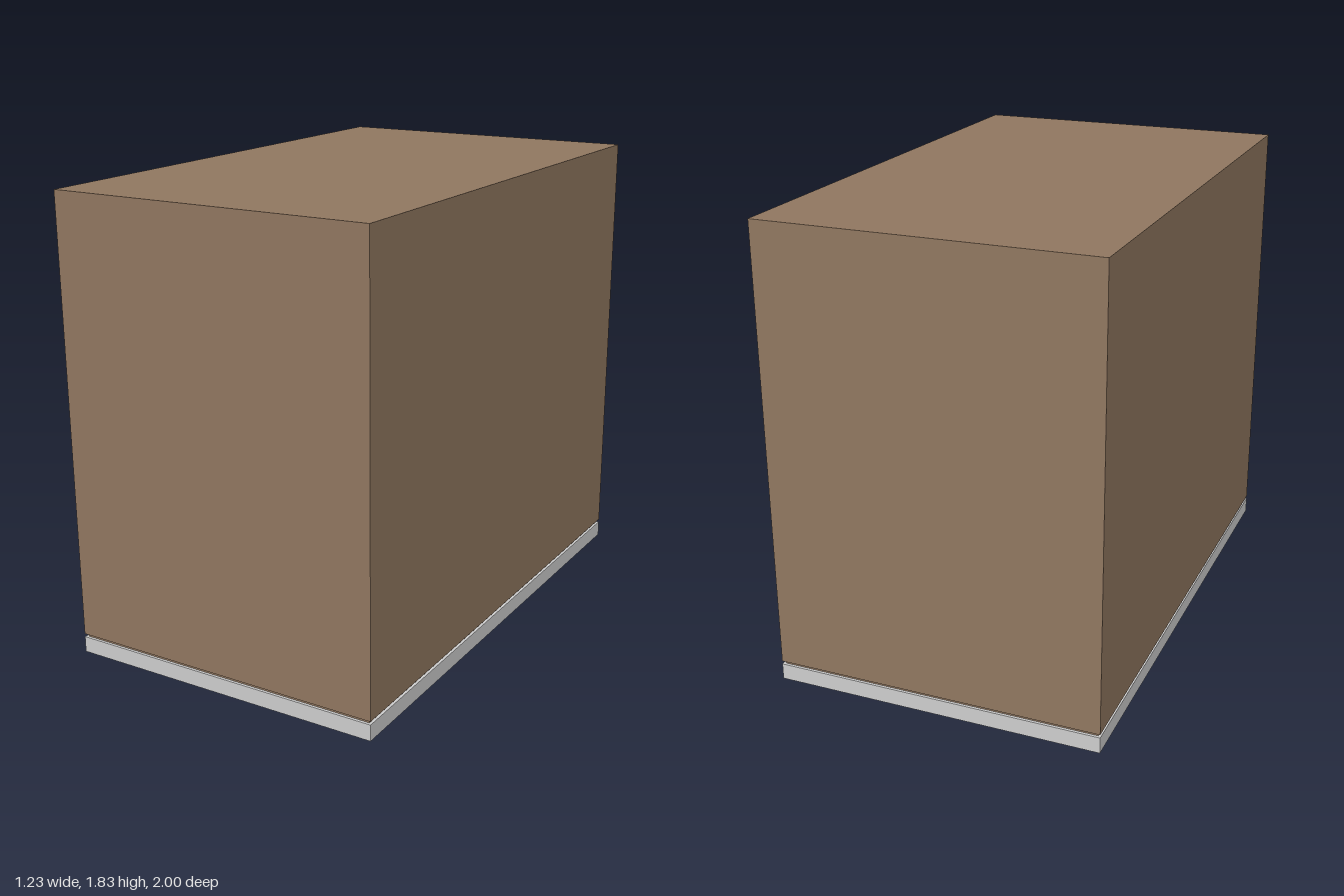
import * as THREE from 'three';

const W = 1.216, D = 1.972; // cabinet width and length
const wood = new THREE.MeshStandardMaterial({ color: 0x8f765f });
const paint = new THREE.MeshStandardMaterial({ color: 0xcccccc });
const metal = new THREE.MeshStandardMaterial({ color: 0x222222 });

// Box spanning y0..y1, centred on x, z
function slab(name, w, d, y0, y1, material, x = 0, z = 0) {
  const mesh = new THREE.Mesh(new THREE.BoxGeometry(w, y1 - y0, d), material);
  mesh.position.set(x, (y0 + y1) / 2, z);
  mesh.name = name;
  return mesh;
}

function rectangle(Type, w, h) {
  return new Type([[-w, -h], [w, -h], [w, h], [-w, h]].map(([x, y]) => new THREE.Vector2(x / 2, y / 2)));
}

// Door lying face down: a frame around a recessed panel
function createDoor() {
  const door = new THREE.Group();
  door.name = 'door';
  const margin = 0.193, w = W - 2 * margin, d = D - 2 * margin;
  const outline = rectangle(THREE.Shape, W, D);
  outline.holes.push(rectangle(THREE.Path, w, d));
  const geometry = new THREE.ExtrudeGeometry(outline, { depth: 0.06, bevelEnabled: false });
  geometry.rotateX(-Math.PI / 2);
  const frame = new THREE.Mesh(geometry, paint);
  frame.name = 'doorFrame';
  door.add(frame, slab('doorPanel', w, d, 0.025, 0.06, paint));
  return door;
}

// Bar handle on two posts
function createHandle() {
  const handle = new THREE.Group();
  handle.name = 'handle';
  const t = 0.03, x = -0.515, front = 0.832, back = 0.332;
  for (const z of [front, back]) handle.add(slab('handlePost', t, t, -0.088, 0, metal, x, z));
  handle.add(slab('handleBar', t, front - back, -0.095, -0.065, metal, x, (front + back) / 2));
  return handle;
}

export function createModel() {
  const cabinet = new THREE.Group();
  cabinet.name = 'cabinet';
  cabinet.add(
    slab('cabinetBody', W, D, 0.072, 1.705, wood),
    slab('doorGap', W - 0.02, D - 0.02, 0.06, 0.072, wood),
    createDoor(),
    createHandle(),
  );
  // The cabinet rests on its handle, slightly tilted
  cabinet.rotation.set(0.0155, 0, -0.006);
  cabinet.position.set(-0.006, 0.108, -0.012);

  const model = new THREE.Group();
  model.add(cabinet);
  return model;
}
